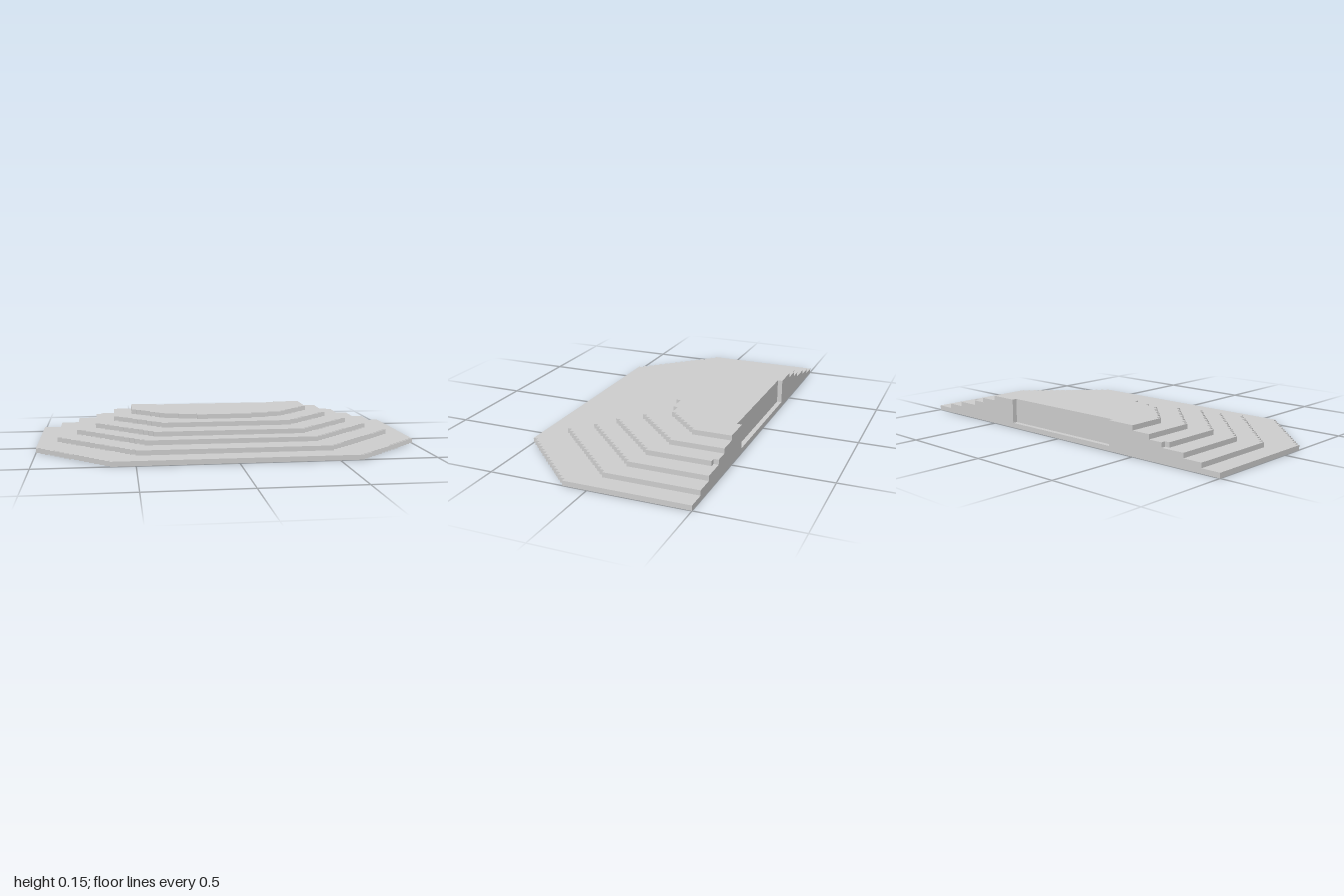
import * as THREE from 'three';

const V = 0.025;            // size of one block
const BACK = -0.5;
const RECESS = { half: 0.35, z: BACK + V };

// Each terrace: half width at the back, z where its corner starts, diagonal steps
const TERRACES = [
  { half: 1.0, z: 0.125, steps: 15 },
  { half: 0.9, z: -0.025, steps: 16 },
  { half: 0.8, z: -0.1, steps: 14 },
  { half: 0.7, z: -0.15, steps: 12, nick: true },
  { half: 0.6, z: -0.225, steps: 10 },
  { half: 0.5, z: -0.3, steps: 7, tail: [[0.25, -0.125], [0.25, -0.1], [0.15, -0.1], [0.15, -0.075]] },
];

const material = new THREE.MeshStandardMaterial({ color: 0xcccccc, side: THREE.DoubleSide, flatShading: true });

// Blocky outline of a terrace, from back +x round the front to back -x
function outline({ half, z, steps, nick, tail = [] }) {
  const side = nick ? [[half - V, BACK], [half - V, BACK + V], [half, BACK + V]] : [[half, BACK]];
  side.push([half, z]);
  for (let i = 1; i <= steps; i++) {
    side.push([half - i * V, z + (i - 1) * V], [half - i * V, z + i * V]);
  }
  side.push(...tail);
  return [...side, ...side.map(([x, zz]) => [-x, zz]).reverse()];
}

// Horizontal face filling a closed outline
function flat(name, points, y) {
  const shape = new THREE.Shape(points.map(([x, z]) => new THREE.Vector2(x, -z)));
  const geometry = new THREE.ShapeGeometry(shape).rotateX(-Math.PI / 2).translate(0, y, 0);
  const mesh = new THREE.Mesh(geometry, material);
  mesh.name = name;
  return mesh;
}

// Vertical wall along a closed outline
function wall(name, points, y0, y1) {
  const pos = [];
  points.forEach(([ax, az], i) => {
    const [bx, bz] = points[(i + 1) % points.length];
    pos.push(ax, y0, az, ax, y1, az, bx, y1, bz, ax, y0, az, bx, y1, bz, bx, y0, bz);
  });
  const geometry = new THREE.BufferGeometry();
  geometry.setAttribute('position', new THREE.Float32BufferAttribute(pos, 3));
  geometry.computeVertexNormals();
  const mesh = new THREE.Mesh(geometry, material);
  mesh.name = name;
  return mesh;
}

export function createModel() {
  const group = new THREE.Group();
  group.name = 'steppedMound';
  const { half, z } = RECESS;
  const recess = [[-half, BACK], [-half, z], [half, z], [half, BACK]];
  const outlines = TERRACES.map(outline);

  outlines.forEach((path, i) => {
    const y = i * V;
    // The recess in the back cuts through every terrace above the lowest
    const closed = i === 0 ? path : [...path, ...recess];
    group.add(wall(`riser${i + 1}`, closed, y, y + V));
    // Each tread is the U between this outline and the next one up
    const next = outlines[i + 1];
    group.add(next
      ? flat(`tread${i + 1}`, [...path, ...[...next].reverse()], y + V)
      : flat('topPlatform', closed, y + V));
  });

  group.add(flat('recessFloor', recess, V));
  return group;
}
